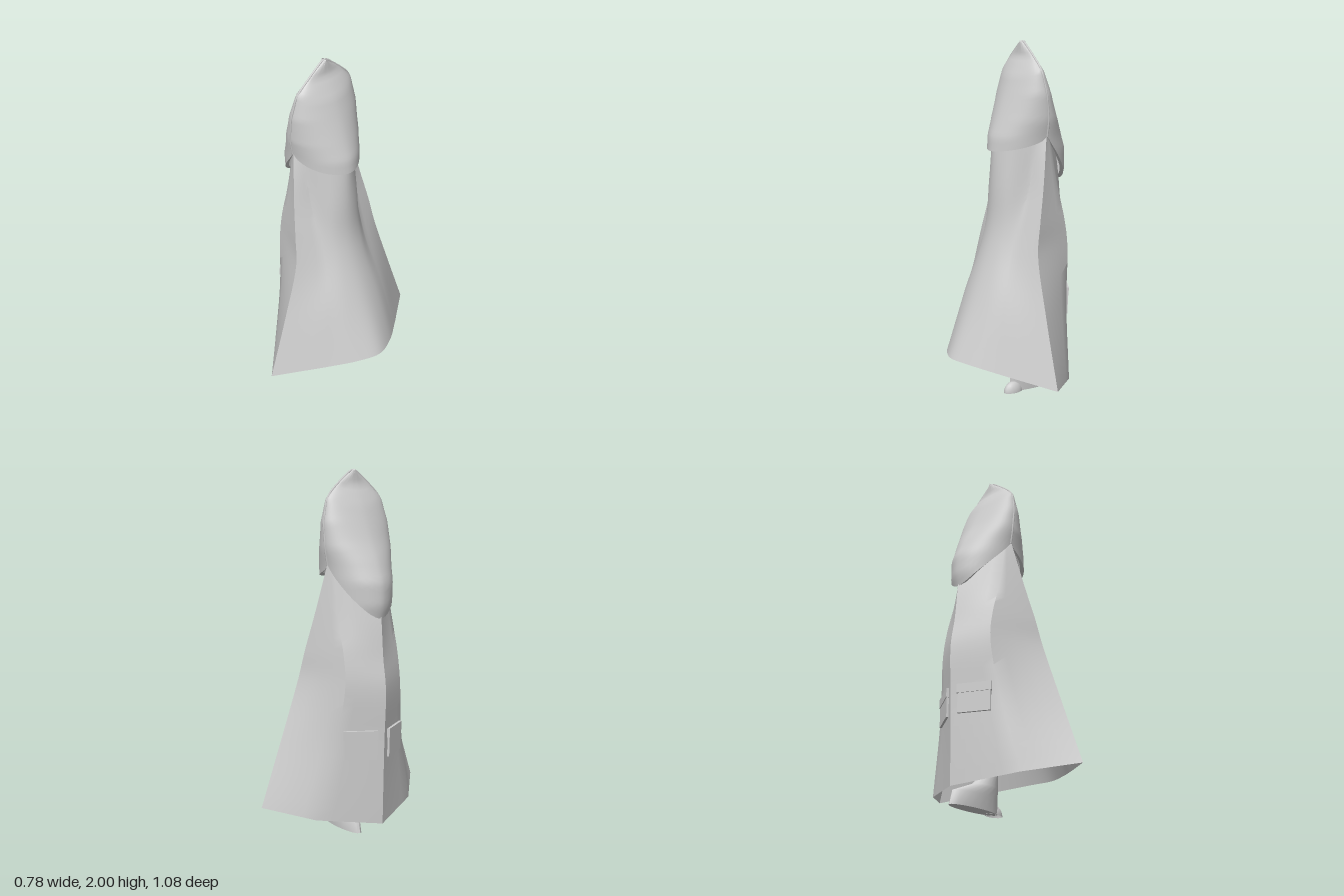
import * as THREE from 'three';
import { toCreasedNormals } from 'three/addons/utils/BufferGeometryUtils.js';

const V = (x, y, z) => new THREE.Vector3(x, y, z);

// Skin closed rings (ordered bottom to top) into a surface
function loft(rings, crease) {
  const n = rings[0].length, pos = [], idx = [];
  rings.forEach(r => r.forEach(p => pos.push(p.x, p.y, p.z)));
  for (let i = 0; i < rings.length - 1; i++) {
    for (let j = 0; j < n; j++) {
      const a = i * n + j, b = i * n + (j + 1) % n;
      idx.push(a, b, b + n, a, b + n, a + n);
    }
  }
  const g = new THREE.BufferGeometry();
  g.setAttribute('position', new THREE.Float32BufferAttribute(pos, 3));
  g.setIndex(idx);
  return toCreasedNormals(g, crease);
}

// Piecewise linear lookup in a list of [y, value]
function lookup(table, y) {
  for (let i = 1; i < table.length; i++) {
    const [y0, v0] = table[i - 1], [y1, v1] = table[i];
    if (y <= y1) return THREE.MathUtils.lerp(v0, v1, Math.max(0, (y - y0) / (y1 - y0)));
  }
  return table[table.length - 1][1];
}

// Half sections of the coat: front, corner, side ridge, back crease, back curve, back centre
const coatRows = [
  [[-.37, .06, 0], [-.2, .1, .33], [.03, .15, .54], [.23, .203, .287], [.342, .233, .13], [.388, .24, 0]],
  [[-.38, .52, 0], [-.245, .52, .232], [.02, .53, .41], [.155, .55, .235], [.225, .56, .12], [.255, .56, 0]],
  [[-.39, .83, 0], [-.278, .85, .19], [.005, .86, .305], [.082, .82, .172], [.135, .84, .09], [.155, .84, 0]],
  [[-.365, 1, 0], [-.255, 1.02, .185], [-.025, 1.02, .28], [.028, 1, .16], [.095, 1, .09], [.12, 1, 0]],
  [[-.345, 1.22, 0], [-.2, 1.22, .185], [-.07, 1.22, .245], [-.035, 1.22, .16], [.073, 1.22, .09], [.108, 1.22, 0]],
  [[-.3, 1.5, 0], [-.15, 1.5, .175], [-.122, 1.5, .195], [-.075, 1.48, .16], [.045, 1.48, .085], [.1, 1.48, 0]],
];

function coatGeometry() {
  const columns = coatRows[0].map((_, c) =>
    new THREE.CatmullRomCurve3(coatRows.map(r => V(...r[c])), false, 'centripetal'));
  const flip = p => V(p.x, p.y, -p.z);
  const rings = [];
  for (let i = 0; i <= 30; i++) {
    const [f, c, s, b1, b2, b] = columns.map(k => k.getPoint(i / 30));
    const side = [];
    for (const [p, q] of [[f, c], [c, s], [s, b1]]) {
      for (let k = 0; k < 4; k++) side.push(p.clone().lerp(q, k / 4));
    }
    const back = new THREE.CatmullRomCurve3([b1, b2, b, flip(b2), flip(b1)]);
    rings.push([...side, ...back.getPoints(24), ...side.slice(1).reverse().map(flip)]);
  }
  return loft(rings, 0.6);
}

// Hood outlines by height
const ridgeX = [[1.2, -.13], [1.6, -.125], [1.9, -.092], [2, -.09]];
const frontX = [[1.2, -.34], [1.28, -.36], [1.4, -.355], [1.52, -.305], [1.62, -.255], [1.81, -.175],
  [1.89, -.13], [1.92, -.11], [2, -.108]];
const backX = [[1.4, .122], [1.48, .115], [1.66, .05], [1.81, -.005], [1.89, -.05], [1.92, -.07], [2, -.072]];
const width = [[1.2, .17], [1.48, .195], [1.58, .212], [1.72, .212], [1.85, .181], [1.93, .1], [2, .004]];

function hoodPoint(angle, t) {
  const c = Math.cos(angle), s = Math.sin(angle), a = Math.abs(c);
  const hem = 1.49 - (c > 0 ? .28 * a : .085 * Math.pow(a, .6));
  const y = THREE.MathUtils.lerp(hem, 2, t);
  const rx = lookup(ridgeX, y), ex = lookup(c > 0 ? frontX : backX, y);
  const z = Math.sign(s) * Math.pow(Math.abs(s), c > 0 ? 1.2 : 1.12) * lookup(width, y);
  return V(rx + (ex - rx) * a, y, z);
}

export function createModel() {
  const model = new THREE.Group();
  const cloth = new THREE.MeshStandardMaterial({ color: 0xcccccc, side: THREE.DoubleSide });
  cloth.name = 'light grey cloth';
  const add = (name, geometry) => {
    const m = new THREE.Mesh(geometry, cloth);
    m.name = name;
    model.add(m);
    return m;
  };

  add('coat', coatGeometry());

  // Hood, pinched to a ridge running from side to side
  const N = 48, hoodRing = t => Array.from({ length: N }, (_, j) => hoodPoint(j / N * Math.PI * 2, t));
  add('hood', loft(Array.from({ length: 29 }, (_, i) => hoodRing(i / 28)), 0.6));

  // Hem turned in from the hood to the coat
  const hem = hoodRing(0);
  const inner = hem.map(p => V(-.12 + (p.x + .12) * .9, p.y + .012, p.z * .9));
  add('hoodHem', loft([inner, hem], 0.9));

  // Fine raised seam along the hood ridge
  const seam = [];
  for (const side of [1, -1]) {
    for (let i = 0; i <= 12; i++) {
      const y = 1.49 + .505 * (side > 0 ? i : 12 - i) / 12;
      seam.push(V(lookup(ridgeX, y), y, side * lookup(width, y)));
    }
  }
  add('hoodSeam', new THREE.TubeGeometry(new THREE.CatmullRomCurve3(seam), 80, .006, 6));

  // Pockets with flaps on both front panels: [name, width, height, depth, y, z]
  for (const side of [1, -1]) {
    const pocket = new THREE.Group();
    pocket.name = side > 0 ? 'leftPocket' : 'rightPocket';
    const parts = [['pocketBag', .18, .13, .012, -.015, 0], ['pocketFlap', .19, .05, .016, .055, .002]];
    for (const [name, w, h, d, y, z] of parts) {
      const m = new THREE.Mesh(new THREE.BoxGeometry(w, h, d), cloth);
      m.name = name;
      m.position.set(0, y, side * z);
      pocket.add(m);
    }
    pocket.position.set(-.321, .52, side * .117);
    pocket.rotation.y = -side * 1.044;
    model.add(pocket);
  }

  // Leg and shoe: [y, centre x, half length, half width]
  const legRows = [[0, -.12, .17, .045], [.08, -.11, .16, .05], [.14, -.04, .09, .046],
    [.22, .005, .045, .036], [.5, .01, .045, .036], [.8, 0, .045, .036]];
  add('legAndShoe', loft(legRows.map(([y, x, l, w]) => Array.from({ length: 20 }, (_, j) => {
    const a = j / 20 * Math.PI * 2;
    return V(x - l * Math.cos(a), y, -.095 + w * Math.sin(a));
  })), 0.9));
  const sole = add('sole', new THREE.CircleGeometry(1, 20));
  sole.rotation.x = Math.PI / 2;
  sole.scale.set(.17, .045, 1);
  sole.position.set(-.12, .001, -.095);
  const heel = add('heel', new THREE.SphereGeometry(1, 16, 8, 0, Math.PI * 2, 0, Math.PI / 2));
  heel.scale.set(.06, .06, .035);
  heel.position.set(.04, 0, -.11);

  return model;
}
